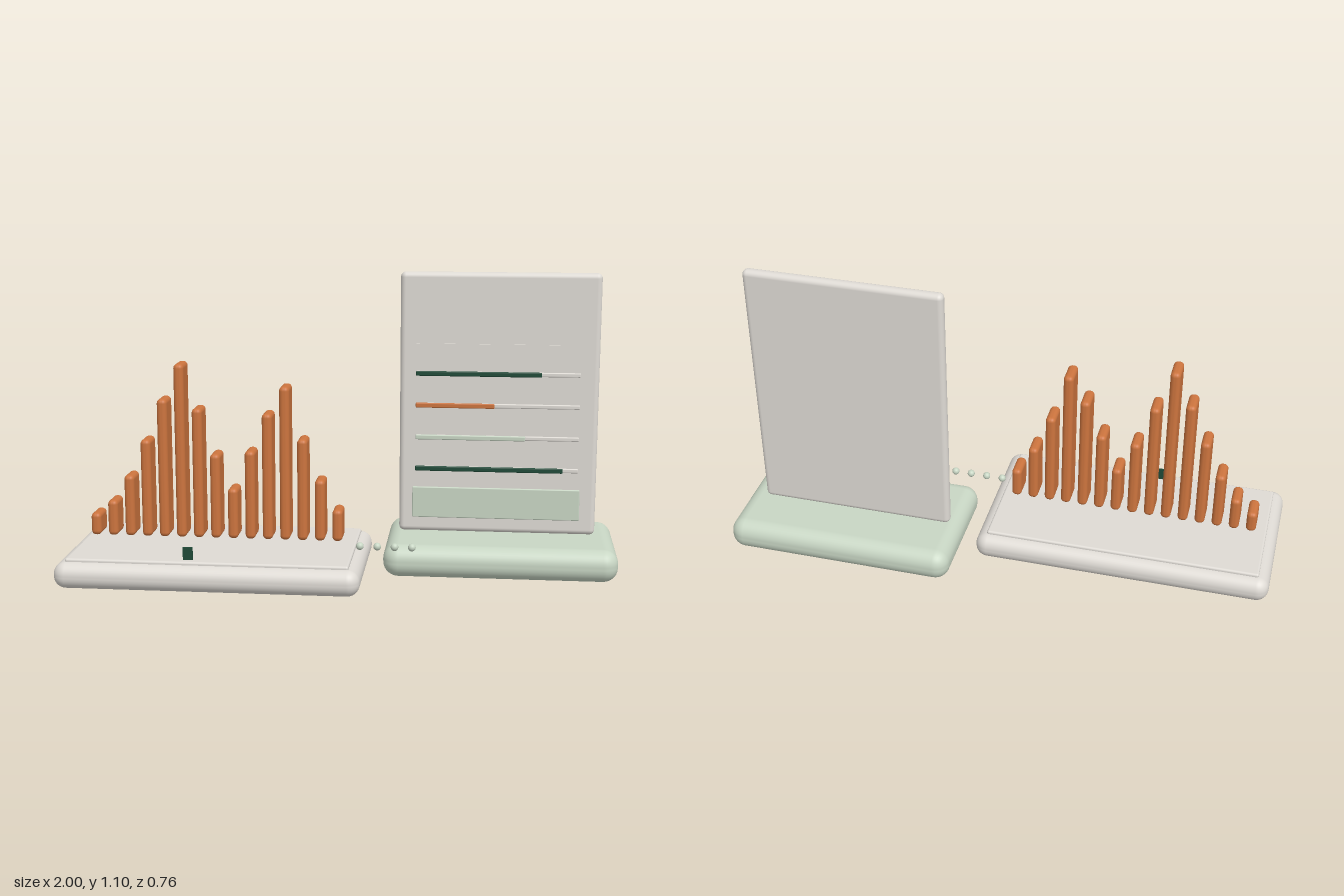
import * as THREE from 'three';
import { RoundedBoxGeometry } from 'three/addons/geometries/RoundedBoxGeometry.js';

function material(name, color) {
  const m = new THREE.MeshStandardMaterial({ color });
  m.name = name;
  return m;
}

export function createModel() {
  const stone = material('warm grey', 0xdedad4);
  const sage = material('sage green', 0xc8d6c4);
  const copper = material('copper orange', 0xcc743e);
  const forest = material('forest green', 0x1f4a38);

  const model = new THREE.Group();
  model.name = 'chartDisplay';

  // Box given by its extents on each axis; r is the edge rounding (0 for sharp)
  function box(parent, name, mat, [x0, x1], [y0, y1], [z0, z1], r = 0) {
    const w = x1 - x0, h = y1 - y0, d = z1 - z0;
    const geo = r > 0 ? new RoundedBoxGeometry(w, h, d, 4, r) : new THREE.BoxGeometry(w, h, d);
    const mesh = new THREE.Mesh(geo, mat);
    mesh.name = name;
    mesh.position.set((x0 + x1) / 2, (y0 + y1) / 2, (z0 + z1) / 2);
    parent.add(mesh);
    return mesh;
  }

  function group(name) {
    const g = new THREE.Group();
    g.name = name;
    model.add(g);
    return g;
  }

  // Chart stand: low tray, raised plate and a small marker
  const chart = group('barChart');
  box(chart, 'chartBase', stone, [-1, 0.09], [0.01, 0.106], [-0.215, 0.38], 0.045);
  box(chart, 'chartPlate', stone, [-0.96, 0.05], [0.098, 0.117], [-0.175, 0.34], 0.008);
  box(chart, 'marker', forest, [-0.539, -0.504], [0.117, 0.163], [0.308, 0.314]);

  // Bars hovering just above the plate
  const tops = [0.228, 0.277, 0.372, 0.506, 0.656, 0.785, 0.624, 0.458,
    0.332, 0.472, 0.61, 0.709, 0.519, 0.371, 0.262];
  tops.forEach((top, i) => {
    const x = -0.902 + i * 0.0636;
    box(chart, 'bar', copper, [x - 0.0185, x + 0.0185], [0.145, top], [0.027, 0.127], 0.016);
  });

  // Row of beads linking the two stands
  const beads = group('beads');
  for (let i = 0; i < 4; i++) {
    const bead = new THREE.Mesh(new THREE.SphereGeometry(0.014, 20, 14), sage);
    bead.name = 'bead';
    bead.position.set(0.072 + i * 0.0625, 0.135, 0.137);
    beads.add(bead);
  }

  // Upright panel on its own base
  const board = group('statusBoard');
  box(board, 'boardBase', sage, [0.15, 1], [0.003, 0.123], [-0.382, 0.103], 0.055);
  box(board, 'boardPanel', stone, [0.195, 0.925], [0.122, 1.098], [-0.179, -0.137], 0.019);
  box(board, 'headingLine', stone, [0.255, 0.857], [0.834, 0.837], [-0.132, -0.128]);
  box(board, 'infoCard', sage, [0.245, 0.865], [0.181, 0.298], [-0.129, -0.119], 0.004);

  // Progress rows: a pale track with a coloured fill in front
  const rows = [[0.727, 0.715, forest], [0.608, 0.545, copper], [0.488, 0.66, sage], [0.369, 0.8, forest]];
  for (const [y, end, mat] of rows) {
    box(board, 'track', stone, [0.255, 0.857], [y - 0.008, y + 0.008], [-0.134, -0.124], 0.004);
    box(board, 'trackFill', mat, [0.255, end], [y - 0.009, y + 0.009], [-0.126, -0.116], 0.004);
  }

  return model;
}
